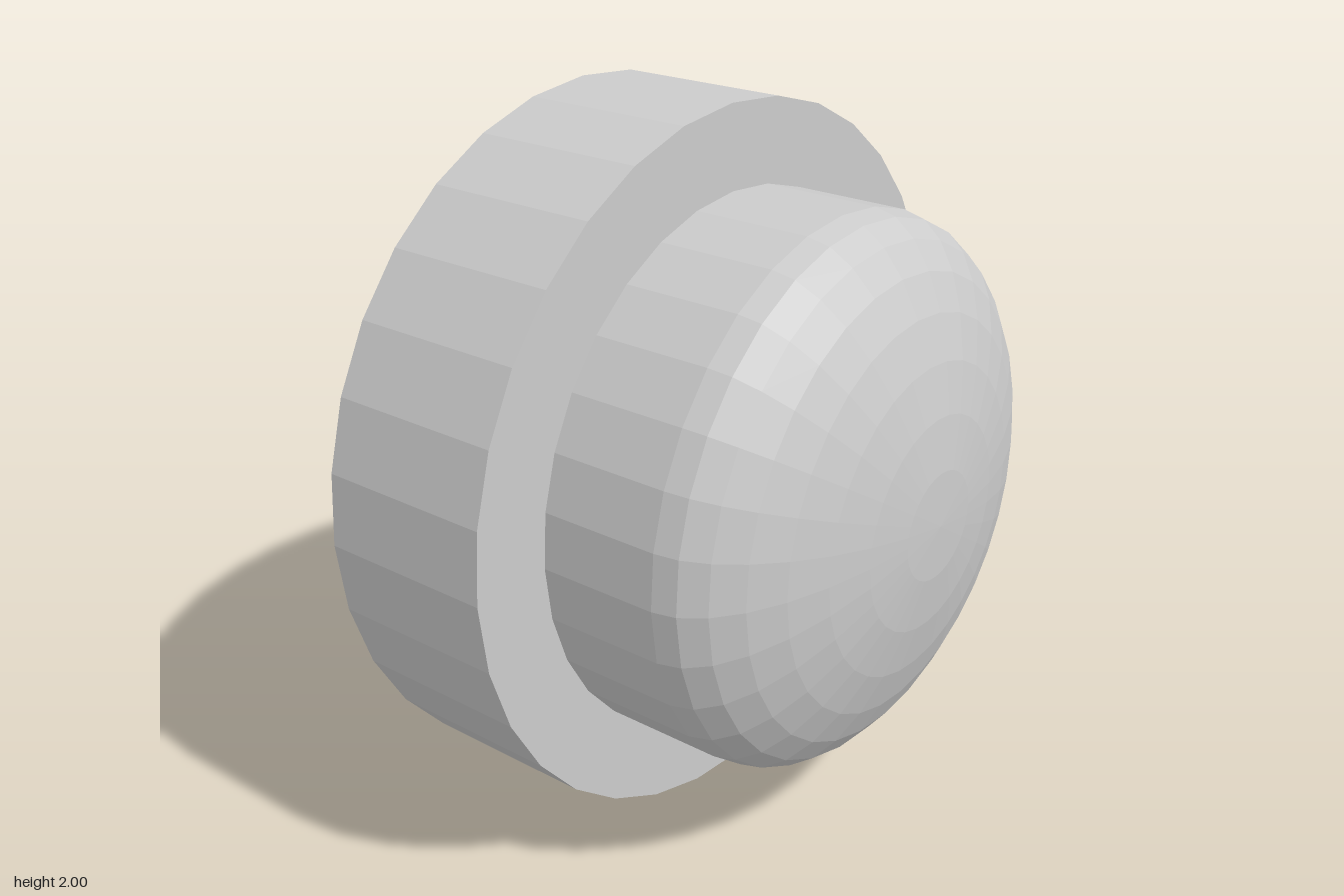
import * as THREE from 'three';

const SIDES = 32;
const BACK = -0.587, STEP = -0.08, DOME_START = 0.26, FRONT = 0.587;
const BASE_RADIUS = 1, KNOB_RADIUS = 0.77;

export function createModel() {
  const model = new THREE.Group();
  model.name = 'domedButton';
  const material = new THREE.MeshStandardMaterial({ color: 0xcccccc, flatShading: true });

  // Adds a part whose axis runs along z
  const addPart = (name, geometry, z) => {
    const mesh = new THREE.Mesh(geometry.rotateX(Math.PI / 2), material);
    mesh.name = name;
    mesh.position.set(0, 1, z);
    model.add(mesh);
  };

  // Wide round base plate at the back
  addPart('base', new THREE.CylinderGeometry(BASE_RADIUS, BASE_RADIUS, STEP - BACK, SIDES), (BACK + STEP) / 2);

  // Straight collar, open where it meets the base and the dome
  addPart('collar', new THREE.CylinderGeometry(KNOB_RADIUS, KNOB_RADIUS, DOME_START - STEP, SIDES, 1, true), (STEP + DOME_START) / 2);

  // Flattened hemisphere cap
  const dome = new THREE.SphereGeometry(KNOB_RADIUS, SIDES, 8, 0, Math.PI * 2, 0, Math.PI / 2);
  dome.scale(1, (FRONT - DOME_START) / KNOB_RADIUS, 1);
  addPart('dome', dome, DOME_START);

  return model;
}
